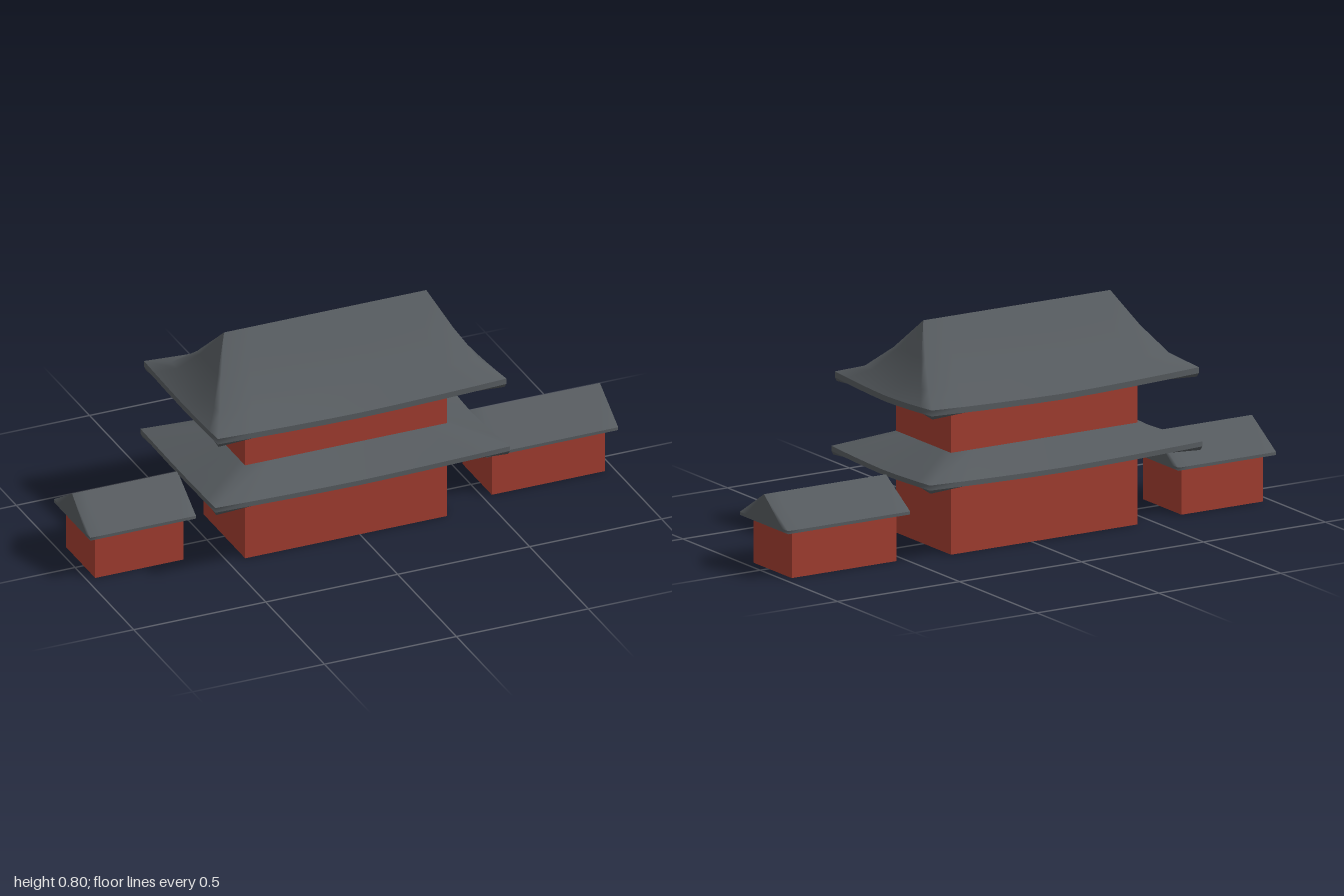
import * as THREE from 'three';
import { mergeGeometries } from 'three/addons/utils/BufferGeometryUtils.js';

const SEG = 8; // segments along each side of a roof

// Closed loop of points round a rectangle, its sides bowed down and inwards between the corners
function ring({ hx, hz, y, sag = 0, bow = 0, tip = 0 }) {
  const corners = [[-1, 1], [1, 1], [1, -1], [-1, -1]];
  const points = [];
  corners.forEach(([ax, az], k) => {
    const [bx, bz] = corners[(k + 1) % 4];
    for (let i = 0; i < SEG; i++) {
      const t = i / SEG;
      const mid = 1 - Math.pow(Math.abs(2 * t - 1), 1.5);
      const alongX = az === bz;
      const x = (ax + (bx - ax) * t) * (hx - (alongX ? 0 : bow * mid));
      const z = (az + (bz - az) * t) * (hz - (alongX ? bow * mid : 0));
      points.push(x, y - sag * mid - (i === 0 ? tip : 0), z);
    }
  });
  return points;
}

// Smooth surface through a list of rings, outer face to the outside
function loft(rings) {
  const n = SEG * 4;
  const index = [];
  for (let r = 0; r < rings.length - 1; r++) {
    for (let i = 0; i < n; i++) {
      const j = (i + 1) % n;
      const a = (r + 1) * n + i, b = (r + 1) * n + j, c = r * n + j, d = r * n + i;
      index.push(a, b, c, a, c, d);
    }
  }
  const geometry = new THREE.BufferGeometry();
  geometry.setAttribute('position', new THREE.Float32BufferAttribute(rings.flatMap(ring), 3));
  geometry.setIndex(index);
  geometry.computeVertexNormals();
  return geometry;
}

// Roof shell: tiled top, eave edge and hollow underside
function roofGeometry(rings, thick, tip) {
  const eave = rings[rings.length - 1];
  const low = { ...eave, y: eave.y - thick };
  const under = rings.map((r) => ({
    ...r, hx: r.hx - 0.005, hz: Math.max(0, r.hz - 0.005), y: r.y - thick,
  })).reverse();
  under[0].tip = tip;
  return mergeGeometries([loft(rings), loft([eave, low]), loft([low, ...under])]);
}

// Four walls, open above and below
function wallGeometry(w, h, d) {
  const box = new THREE.BoxGeometry(w, h, d);
  const all = Array.from(box.index.array);
  box.setIndex([...all.slice(0, 12), ...all.slice(24)]);
  box.clearGroups();
  return box.translate(0, h / 2, 0);
}

export function createModel() {
  const red = new THREE.MeshStandardMaterial({ color: 0xa03c2f, side: THREE.DoubleSide });
  red.name = 'red wall';
  const grey = new THREE.MeshStandardMaterial({ color: 0x555a5e, side: THREE.DoubleSide });
  grey.name = 'grey tile';

  const model = new THREE.Group();
  model.name = 'hall';
  const add = (parent, name, geometry, material) => {
    const mesh = new THREE.Mesh(geometry, material);
    mesh.name = name;
    parent.add(mesh);
    return mesh;
  };

  // Main hall with two tiers of roof
  const main = new THREE.Group();
  main.name = 'mainHall';
  main.position.x = -0.052;
  model.add(main);
  add(main, 'mainWalls', wallGeometry(0.765, 0.53, 0.356), red);
  add(main, 'lowerRoof', roofGeometry([
    { hx: 0.383, hz: 0.178, y: 0.365 },
    { hx: 0.558, hz: 0.319, y: 0.304, sag: 0.015, bow: 0.008 },
  ], 0.018, 0.013), grey);
  add(main, 'upperRoof', roofGeometry([
    { hx: 0.383, hz: 0, y: 0.8 },
    { hx: 0.44, hz: 0.102, y: 0.69 },
    { hx: 0.492, hz: 0.207, y: 0.607, sag: 0.005, bow: 0.003 },
    { hx: 0.547, hz: 0.314, y: 0.57, sag: 0.018, bow: 0.008 },
  ], 0.021, 0.013), grey);

  // Low gabled wings on both sides; the left one is longer
  const wings = [
    { name: 'leftWing', x: 0.75, roof: 0.5, wall: 0.43 },
    { name: 'rightWing', x: -0.8, roof: 0.4, wall: 0.335 },
  ];
  for (const { name, x, roof, wall } of wings) {
    const wing = new THREE.Group();
    wing.name = name;
    wing.position.set(x, 0, -0.025);
    model.add(wing);
    add(wing, name + 'Walls', wallGeometry(wall, 0.175, 0.248), red);
    add(wing, name + 'Roof', roofGeometry([
      { hx: roof / 2, hz: 0, y: 0.278 },
      { hx: roof / 2, hz: 0.156, y: 0.18 },
    ], 0.011, 0), grey);
  }
  return model;
}
